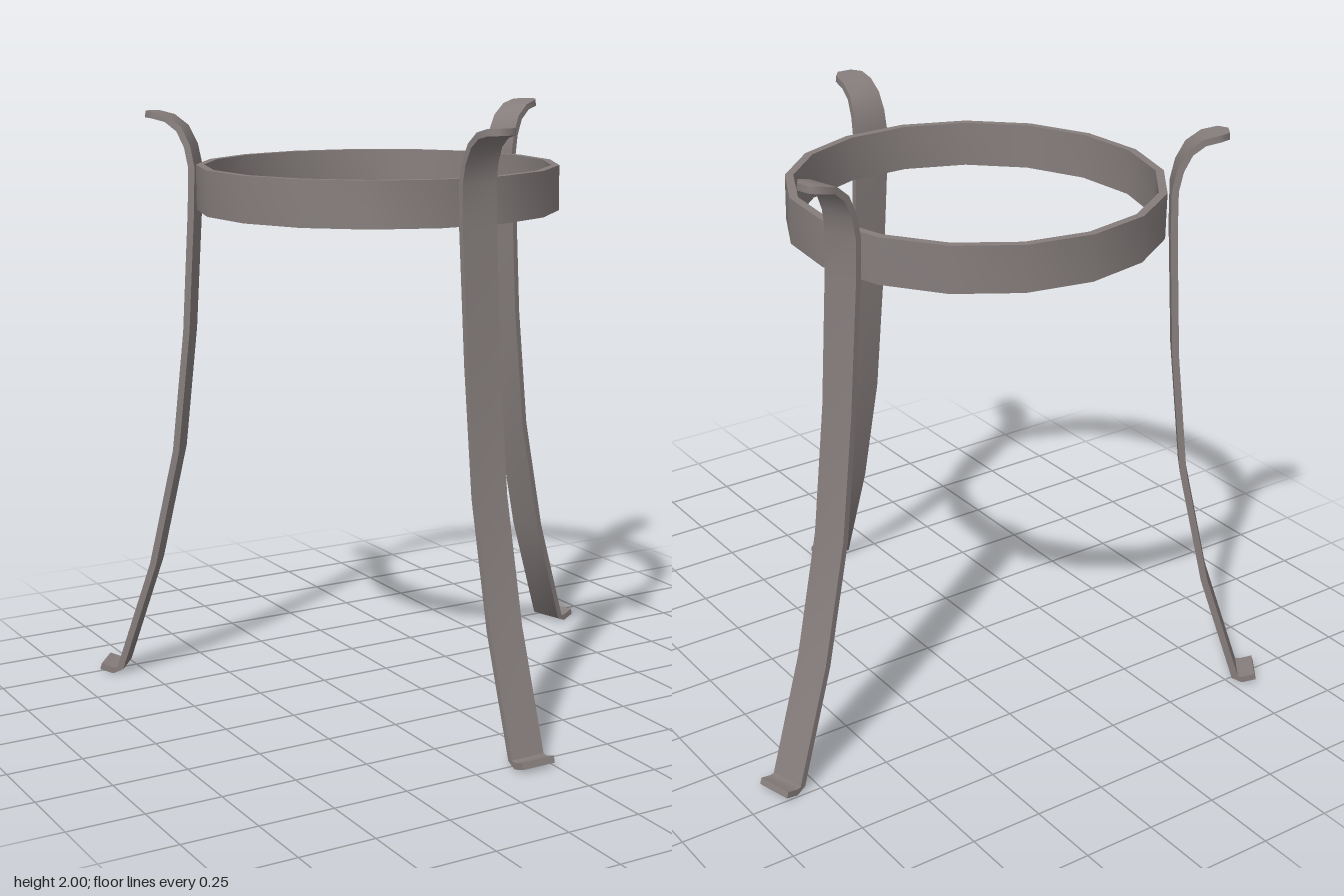
import * as THREE from 'three';
import { toCreasedNormals } from 'three/addons/utils/BufferGeometryUtils.js';

const SIDES = 17;
const STEP = (Math.PI * 2) / SIDES;
const HALF_THICKNESS = 0.011;

// Leg stations from foot tip to curled top: [radius, height, half width]
const LEG = [
  [0.995, 0.027, 0.06], [0.95, 0.013, 0.06], [0.925, 0.022, 0.06],
  [0.795, 0.41, 0.06], [0.702, 0.82, 0.06], [0.655, 1.24, 0.06],
  [0.628, 1.66, 0.063], [0.624, 1.8, 0.062], [0.637, 1.865, 0.06],
  [0.664, 1.92, 0.057], [0.707, 1.953, 0.055], [0.755, 1.965, 0.052],
  [0.785, 1.967, 0.026],
];

// Flat bar swept along the leg stations, with capped ends
function legGeometry(lift) {
  const path = LEG.map(([r, y, w]) => [r, y + lift * Math.max(0, (y - 1.7) / 0.267), w]);
  const positions = [];
  const index = [];
  path.forEach(([r, y, w], i) => {
    const a = path[Math.max(i - 1, 0)];
    const b = path[Math.min(i + 1, path.length - 1)];
    const tangent = new THREE.Vector2(b[0] - a[0], b[1] - a[1]).normalize();
    const nz = tangent.y * HALF_THICKNESS;
    const ny = -tangent.x * HALF_THICKNESS;
    for (const [sx, sn] of [[-1, 1], [1, 1], [1, -1], [-1, -1]]) {
      positions.push(sx * w, y + sn * ny, r + sn * nz);
    }
    if (i === 0) return;
    for (let j = 0; j < 4; j++) {
      const p = (i - 1) * 4 + j;
      const q = (i - 1) * 4 + ((j + 1) % 4);
      index.push(p, q, q + 4, p, q + 4, p + 4);
    }
  });
  const e = (path.length - 1) * 4;
  index.push(0, 2, 1, 0, 3, 2, e, e + 1, e + 2, e, e + 2, e + 3);
  const geometry = new THREE.BufferGeometry();
  geometry.setAttribute('position', new THREE.Float32BufferAttribute(positions, 3));
  geometry.setIndex(index);
  return toCreasedNormals(geometry, 0.9);
}

export function createModel() {
  const model = new THREE.Group();
  model.name = 'tripodStand';
  const metal = new THREE.MeshStandardMaterial({ color: 0x857d7c });

  // All parts share the ring's axis
  const stand = new THREE.Group();
  stand.name = 'stand';
  stand.position.set(-0.065, 0, -0.175);
  model.add(stand);

  // Flat hoop with one corner at the back
  const section = [[0.607, 1.665], [0.607, 1.815], [0.58, 1.815], [0.58, 1.665], [0.607, 1.665]]
    .map(([r, y]) => new THREE.Vector2(r, y));
  const hoop = new THREE.LatheGeometry(section, SIDES, Math.PI);
  const ring = new THREE.Mesh(toCreasedNormals(hoop, 0.6), metal);
  ring.name = 'ring';
  stand.add(ring);

  // Three legs, each centred on a side of the hoop
  for (const [name, side, lift] of [['frontLeg', 0, 0], ['leftLeg', 5, 0.022], ['rightLeg', -6, 0.008]]) {
    const leg = new THREE.Mesh(legGeometry(lift), metal);
    leg.name = name;
    leg.rotation.y = side * STEP;
    stand.add(leg);
  }
  return model;
}
